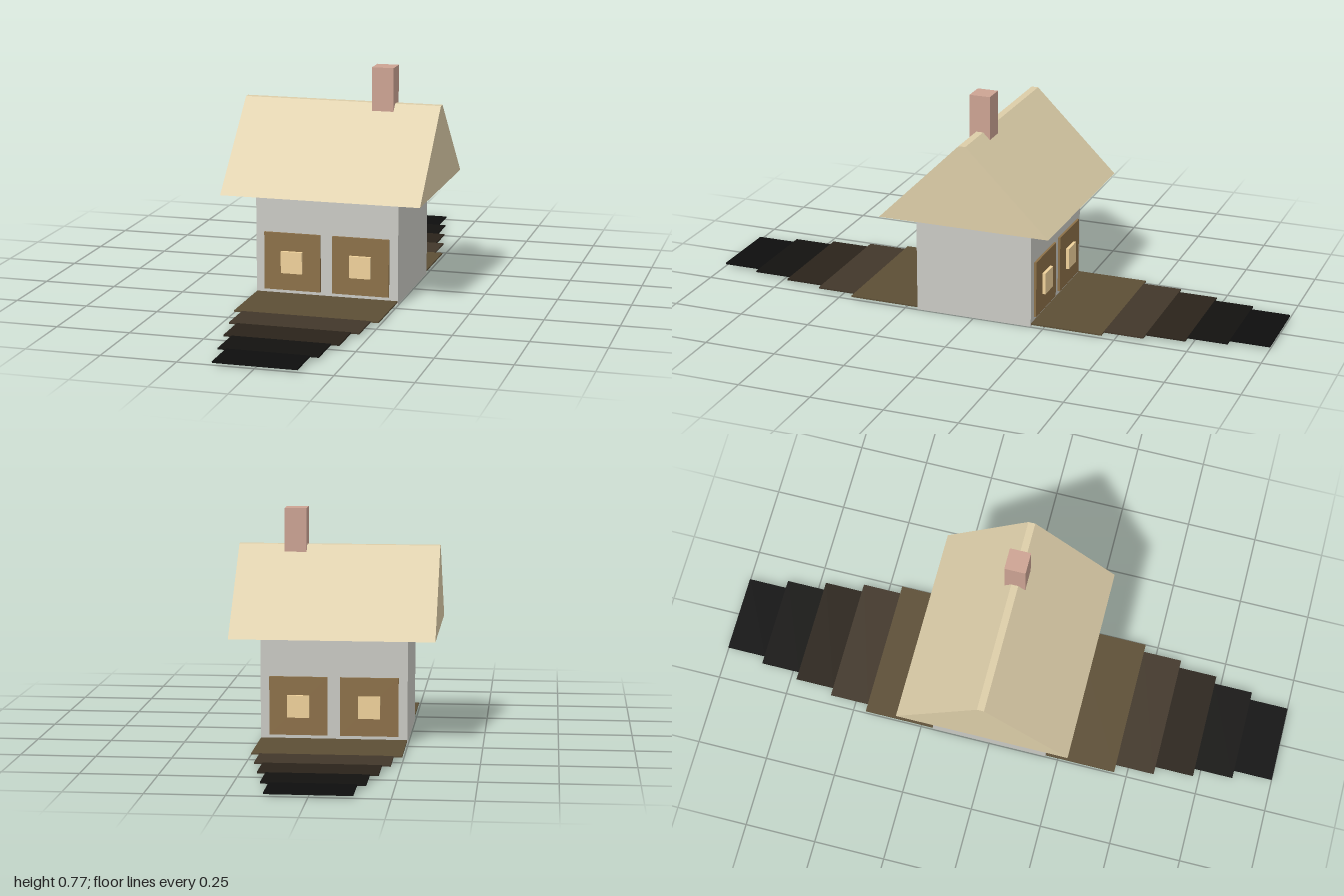
import * as THREE from 'three';

const mat = (color) => new THREE.MeshStandardMaterial({ color, flatShading: true });

// Box given by its lower and upper corners
function box(name, material, [x0, y0, z0], [x1, y1, z1]) {
  const geo = new THREE.BoxGeometry(x1 - x0, y1 - y0, z1 - z0);
  geo.translate((x0 + x1) / 2, (y0 + y1) / 2, (z0 + z1) / 2);
  const mesh = new THREE.Mesh(geo, material);
  mesh.name = name;
  return mesh;
}

export function createModel() {
  const house = new THREE.Group();
  house.name = 'house';
  const wallMat = mat(0xcacac4);
  const roofMat = mat(0xdccda8);
  const brickMat = mat(0xcca393);
  const frameMat = mat(0x8c7048);
  const paneMat = mat(0xf0d29b);

  // Walls
  house.add(box('walls', wallMat, [-0.247, 0, -0.206], [0.247, 0.36, 0.206]));

  // Gable roof with a narrow flat ridge, extruded along x
  const gable = new THREE.Shape([
    new THREE.Vector2(-0.3, 0.36), new THREE.Vector2(0.3, 0.36),
    new THREE.Vector2(0.012, 0.645), new THREE.Vector2(-0.012, 0.645),
  ]);
  const roofGeo = new THREE.ExtrudeGeometry(gable, { depth: 0.686, bevelEnabled: false });
  roofGeo.translate(0, 0, -0.343).rotateY(Math.PI / 2);
  const roof = new THREE.Mesh(roofGeo, roofMat);
  roof.name = 'roof';
  house.add(roof);

  // Chimney
  house.add(box('chimney', brickMat, [0.11, 0.58, -0.036], [0.185, 0.77, 0.036]));

  // Two windows on the front and two on the back
  for (const side of [1, -1]) {
    for (const x of [-0.119, 0.119]) {
      const win = new THREE.Group();
      win.name = 'window';
      win.add(box('windowFrame', frameMat, [-0.098, 0.024, 0.2], [0.098, 0.222, 0.214]));
      win.add(box('windowPane', paneMat, [-0.037, 0.085, 0.2], [0.037, 0.16, 0.225]));
      win.position.x = x;
      win.rotation.y = side > 0 ? 0 : Math.PI;
      house.add(win);
    }
  }

  // Stepped path, narrowing and darkening away from the house on both sides
  const pathColors = [0x5c4e35, 0x42372a, 0x2a231a, 0x131210, 0x0d0d0d];
  const pathEnds = [0.2, 0.455, 0.592, 0.728, 0.864, 1];
  pathColors.forEach((color, i) => {
    const material = mat(color);
    const w = 0.246 - i * 0.0275;
    for (const side of [1, -1]) {
      const z = [side * pathEnds[i], side * pathEnds[i + 1]].sort((a, b) => a - b);
      house.add(box('pathStrip', material, [-w, 0.007, z[0]], [w, 0.012, z[1]]));
    }
  });
  return house;
}
